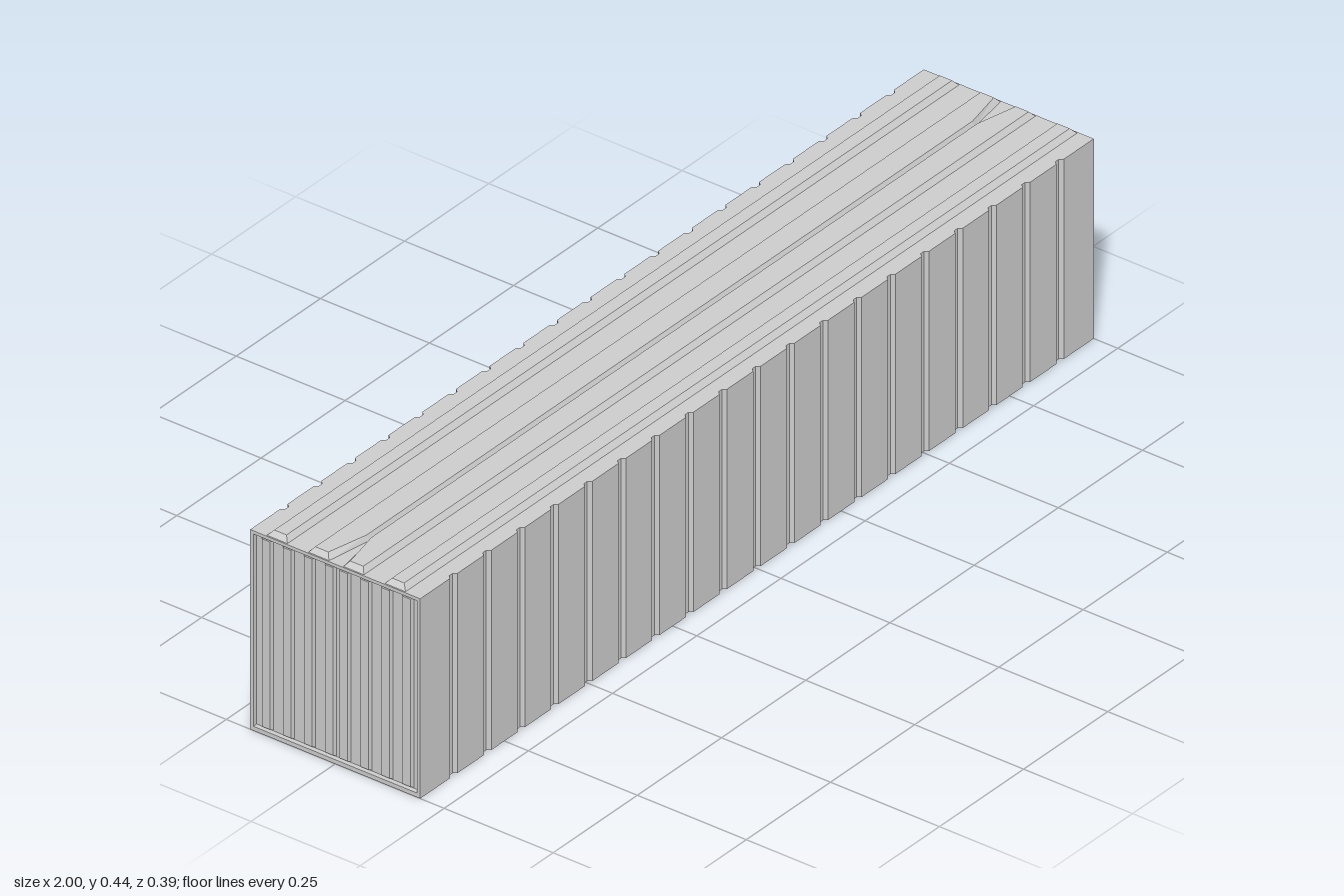
import * as THREE from 'three';

const L = 1, H = 0.427, W = 0.195, TOP = 0.4375, PANEL = 0.99;

// Solid through four-point sections (clockwise when seen from the far end)
function loft(sections) {
  const pos = [];
  const quad = (a, b, c, d) => pos.push(...a, ...b, ...c, ...a, ...c, ...d);
  for (let s = 0; s + 1 < sections.length; s++) {
    const a = sections[s], b = sections[s + 1];
    for (let i = 0; i < 4; i++) {
      const j = (i + 1) % 4;
      quad(a[i], b[i], b[j], a[j]);
    }
  }
  const first = sections[0], last = sections[sections.length - 1];
  quad(...first);
  quad(last[0], last[3], last[2], last[1]);
  const g = new THREE.BufferGeometry();
  g.setAttribute('position', new THREE.Float32BufferAttribute(pos, 3));
  g.computeVertexNormals();
  return g;
}

export function createModel() {
  const group = new THREE.Group();
  const mat = new THREE.MeshStandardMaterial({ color: 0xcccccc, flatShading: true });
  const add = (parent, geometry, name) => {
    const m = new THREE.Mesh(geometry, mat);
    m.name = name;
    parent.add(m);
    return m;
  };

  // Body: plan outline with vertical grooves along both long walls
  const depth = 0.007, outer = 0.011, inner = 0.005;
  const wall = [[-PANEL, W]];
  for (let i = -9; i <= 9; i++) {
    const x = i * 0.1;
    wall.push([x - outer, W], [x - inner, W - depth], [x + inner, W - depth], [x + outer, W]);
  }
  wall.push([PANEL, W]);
  const outline = [...wall, ...wall.map(([x, z]) => [-x, -z])];
  const plan = new THREE.Shape(outline.map(([x, z]) => new THREE.Vector2(x, z)));
  const body = new THREE.ExtrudeGeometry(plan, { depth: H, bevelEnabled: false });
  body.rotateX(-Math.PI / 2);
  add(group, body, 'corrugatedBody');

  // Roof ridges: outer pair straight, middle pair parting in a V at each end
  const ridge = (side, bo, to, ti, bi, tiEnd, biEnd) => {
    const section = (xBase, xTop, t, b) => {
      const pts = [
        [xBase, H - 0.001, side * bo], [xTop, TOP, side * to],
        [xTop, TOP, side * t], [xBase, H - 0.001, side * b],
      ];
      return side > 0 ? pts : pts.reverse();
    };
    return loft([
      section(-0.998, -0.988, tiEnd, biEnd), section(-0.9, -0.9, ti, bi),
      section(0.9, 0.9, ti, bi), section(0.998, 0.988, tiEnd, biEnd),
    ]);
  };
  for (const side of [1, -1]) {
    add(group, ridge(side, 0.16, 0.149, 0.121, 0.111, 0.121, 0.111), 'outerRoofRidge');
    add(group, ridge(side, 0.0645, 0.055, 0.006, 0, 0.025, 0.016), 'middleRoofRidge');
  }

  // Ends: raised rim around a recessed panel with tapered vertical ribs
  const rect = (path, w, y0, y1) => {
    path.moveTo(-w, y0);
    path.lineTo(w, y0);
    path.lineTo(w, y1);
    path.lineTo(-w, y1);
    path.closePath();
    return path;
  };
  const rim = rect(new THREE.Shape(), W, 0, H);
  rim.holes.push(rect(new THREE.Path(), 0.188, 0.009, 0.42));
  const rimGeo = new THREE.ExtrudeGeometry(rim, { depth: L - PANEL, bevelEnabled: false });
  rimGeo.rotateY(Math.PI / 2);
  rimGeo.translate(PANEL, 0, 0);

  const ribFace = (x, half, y0, y1) => [[x, y0, half], [x, y1, half], [x, y1, -half], [x, y0, -half]];
  const ribGeo = loft([
    ribFace(PANEL - 0.001, 0.0125, 0.01, 0.419),
    ribFace(PANEL + 0.007, 0.0095, 0.014, 0.415),
  ]);
  for (const turn of [0, Math.PI]) {
    const end = new THREE.Group();
    end.name = turn ? 'rightEnd' : 'leftEnd';
    end.rotation.y = turn;
    add(end, rimGeo, 'endRim');
    for (const side of [1, -1]) {
      for (let i = 0; i < 4; i++) add(end, ribGeo, 'endRib').position.z = side * (0.0165 + i * 0.0482);
    }
    group.add(end);
  }
  return group;
}
